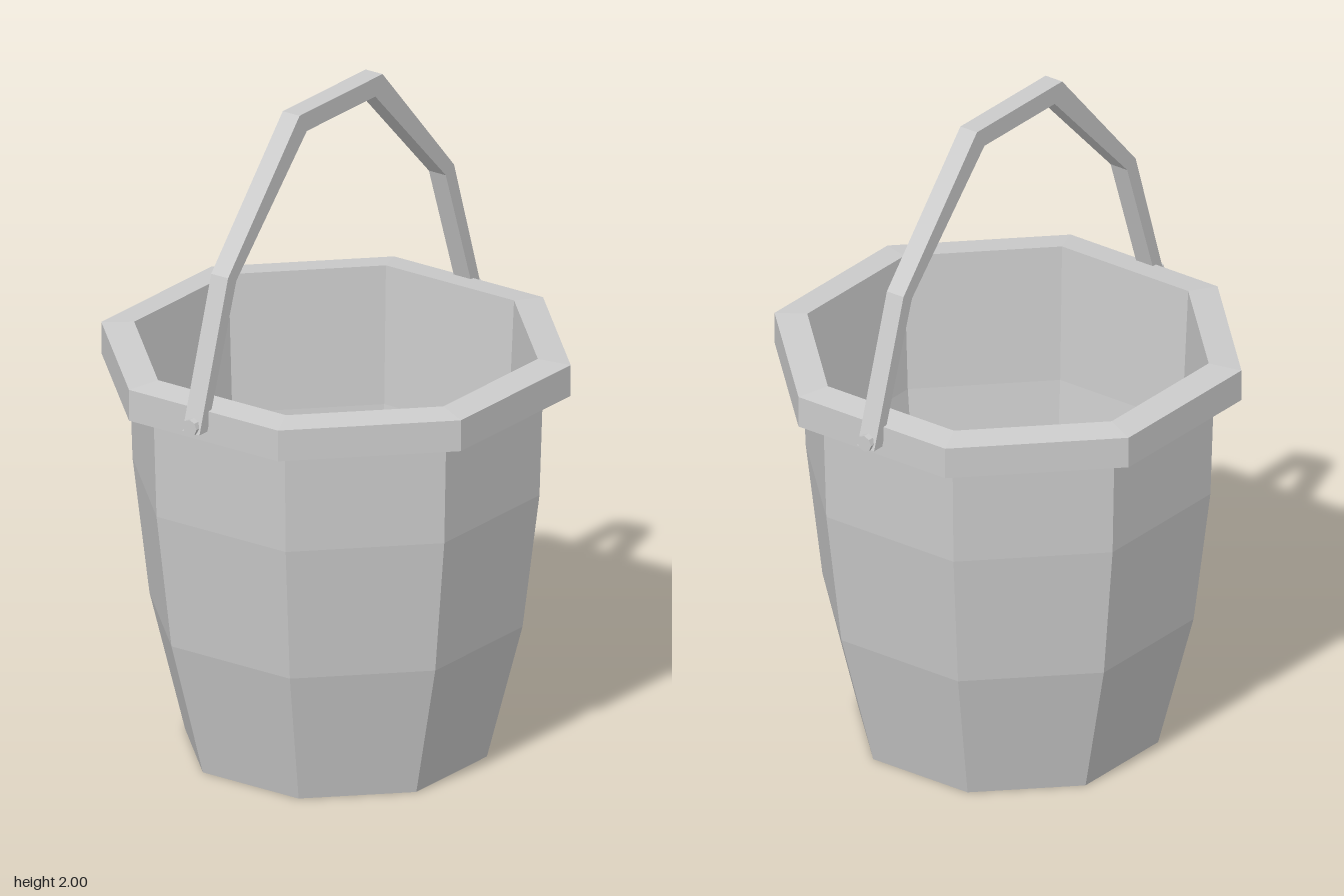
import * as THREE from 'three';

export function createModel() {
  const model = new THREE.Group();
  const material = new THREE.MeshStandardMaterial({ color: 0xcccccc, flatShading: true });
  const add = (parent, name, geometry) => {
    const mesh = new THREE.Mesh(geometry, material);
    mesh.name = name;
    parent.add(mesh);
    return mesh;
  };
  const points = (list) => list.map(([x, y]) => new THREE.Vector2(x, y));

  // Eight-sided shell: raised base, outer wall, hollow overhanging rim, inner wall, floor
  const profile = points([
    [0, 0.085], [0.125, 0.085], [0.165, 0.05], [0.445, 0],
    [0.55, 0.41], [0.6, 0.82], [0.612, 1.2],
    [0.655, 1.2], [0.655, 1.135], [0.692, 1.135], [0.692, 1.23], [0.595, 1.24],
    [0.575, 0.82], [0.525, 0.41], [0.42, 0.03],
    [0.165, 0.08], [0.125, 0.115], [0, 0.115],
  ]);
  const bucket = add(model, 'bucket', new THREE.LatheGeometry(profile, 8));
  bucket.position.x = -0.008;

  // Handle assembly, turned so its ends meet two opposite flat sides of the rim
  const handle = new THREE.Group();
  handle.name = 'handle';
  handle.position.set(-0.012, 0, -0.012);
  handle.rotation.y = Math.PI / 8;
  model.add(handle);

  // Angular bail: outer edge, then inner edge, mirrored across the middle
  const mirror = (list) => [...list, ...list.map(([x, y]) => [-x, y]).reverse()];
  const outer = mirror([[0.683, 1.17], [0.545, 1.61], [0.2, 2]]);
  const inner = mirror([[0.645, 1.17], [0.505, 1.59], [0.165, 1.942]]).reverse();
  const width = 0.06;
  const bailGeometry = new THREE.ExtrudeGeometry(new THREE.Shape(points([...outer, ...inner])), {
    depth: width, bevelEnabled: false,
  });
  bailGeometry.translate(0, 0, -width / 2);
  add(handle, 'bail', bailGeometry);

  // Pivot pegs through the bail ends
  for (const side of [-1, 1]) {
    const peg = add(handle, 'pivotPeg', new THREE.CylinderGeometry(0.025, 0.025, 0.07, 8));
    peg.rotation.z = Math.PI / 2;
    peg.position.set(side * 0.656, 1.188, 0);
  }
  return model;
}
